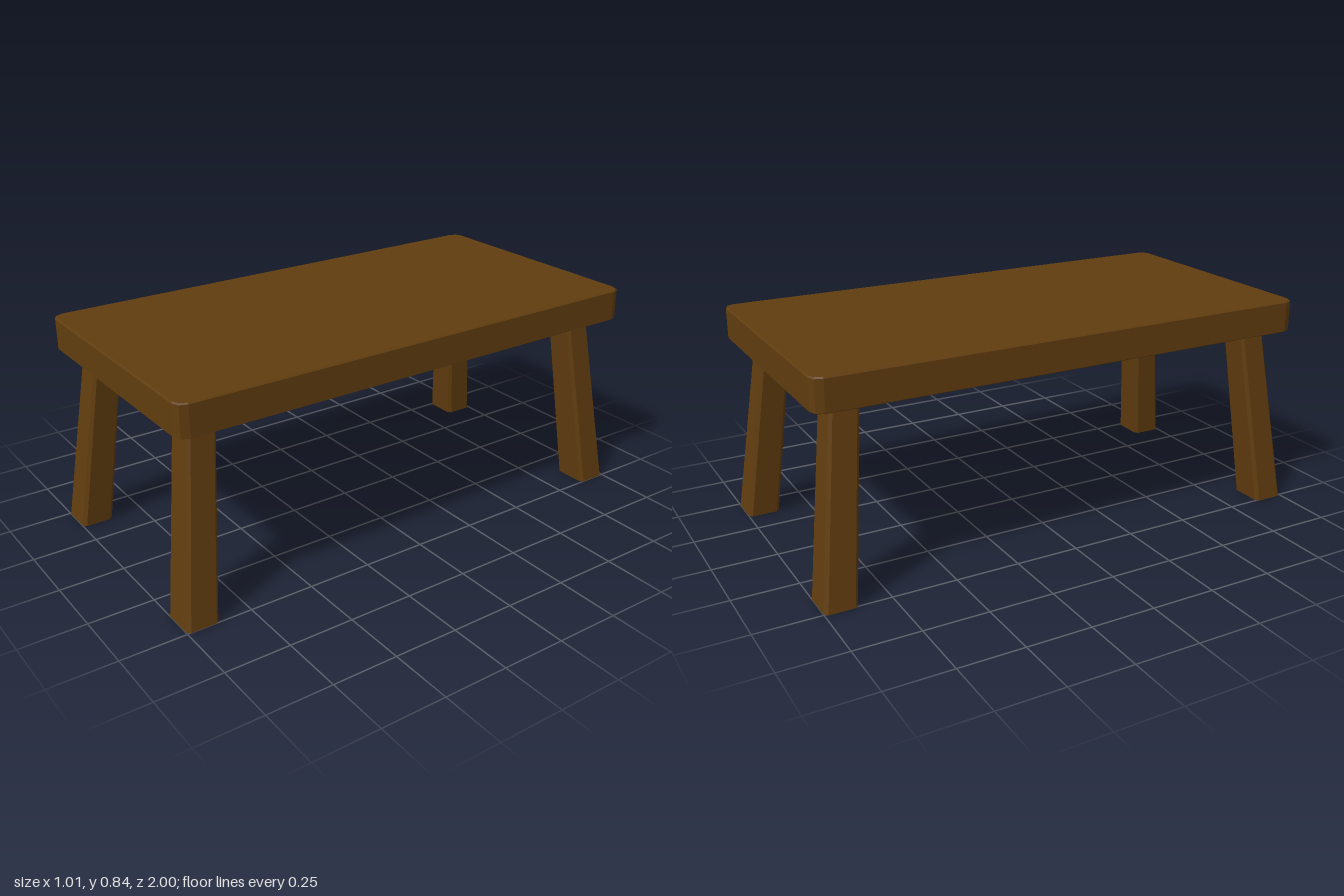
import * as THREE from 'three';

// Rectangle outline with faceted corners, as [x, z] points
function outline({ x = 0, z = 0, hw, hd, cut }, steps) {
  const pts = [];
  [[1, 1], [-1, 1], [-1, -1], [1, -1]].forEach(([sx, sz], q) => {
    for (let i = 0; i <= steps; i++) {
      const a = (q + i / steps) * Math.PI / 2;
      pts.push([
        x + sx * (hw - cut) + Math.cos(a) * cut,
        z + sz * (hd - cut) + Math.sin(a) * cut,
      ]);
    }
  });
  return pts;
}

// Closed solid through rings listed from bottom to top
function loft(rings, steps) {
  const pos = [];
  const tri = (...v) => v.forEach((p) => pos.push(...p));
  const loops = rings.map((r) => outline(r, steps).map(([x, z]) => [x, r.y, z]));
  const n = loops[0].length;
  const mid = (r) => [r.x ?? 0, r.y, r.z ?? 0];
  const first = loops[0], last = loops[loops.length - 1];
  for (let k = 0; k < n; k++) {
    const m = (k + 1) % n;
    for (let i = 0; i < loops.length - 1; i++) {
      const a = loops[i][k], b = loops[i][m], c = loops[i + 1][m], d = loops[i + 1][k];
      tri(a, d, c);
      tri(a, c, b);
    }
    tri(mid(rings[0]), first[k], first[m]);
    tri(mid(rings[rings.length - 1]), last[m], last[k]);
  }
  const geo = new THREE.BufferGeometry();
  geo.setAttribute('position', new THREE.Float32BufferAttribute(pos, 3));
  geo.computeVertexNormals();
  return geo;
}

export function createModel() {
  const group = new THREE.Group();
  group.name = 'table';
  const wood = new THREE.MeshStandardMaterial({ color: 0x613d0f });
  wood.name = 'dark wood';

  // Tabletop slab with cut corners and softened rims
  const top = new THREE.Mesh(loft([
    { y: 0.714, hw: 0.497, hd: 0.981, cut: 0.035 },
    { y: 0.719, hw: 0.506, hd: 0.99, cut: 0.04 },
    { y: 0.835, hw: 0.506, hd: 0.99, cut: 0.04 },
    { y: 0.84, hw: 0.501, hd: 0.985, cut: 0.036 },
  ], 2), wood);
  top.name = 'tabletop';
  top.position.set(0.001, 0, -0.003);
  group.add(top);

  // Four splayed, tapered legs with bevelled edges
  for (const sx of [-1, 1]) {
    for (const sz of [-1, 1]) {
      const leg = new THREE.Mesh(loft([
        { y: 0, x: sx * 0.434, z: sz * 0.938, hw: 0.071, hd: 0.062, cut: 0.013 },
        { y: 0.72, x: sx * 0.359, z: sz * 0.855, hw: 0.059, hd: 0.054, cut: 0.011 },
      ], 1), wood);
      leg.name = (sz > 0 ? 'front' : 'back') + (sx > 0 ? 'Left' : 'Right') + 'Leg';
      leg.position.x = -0.003;
      group.add(leg);
    }
  }
  return group;
}
